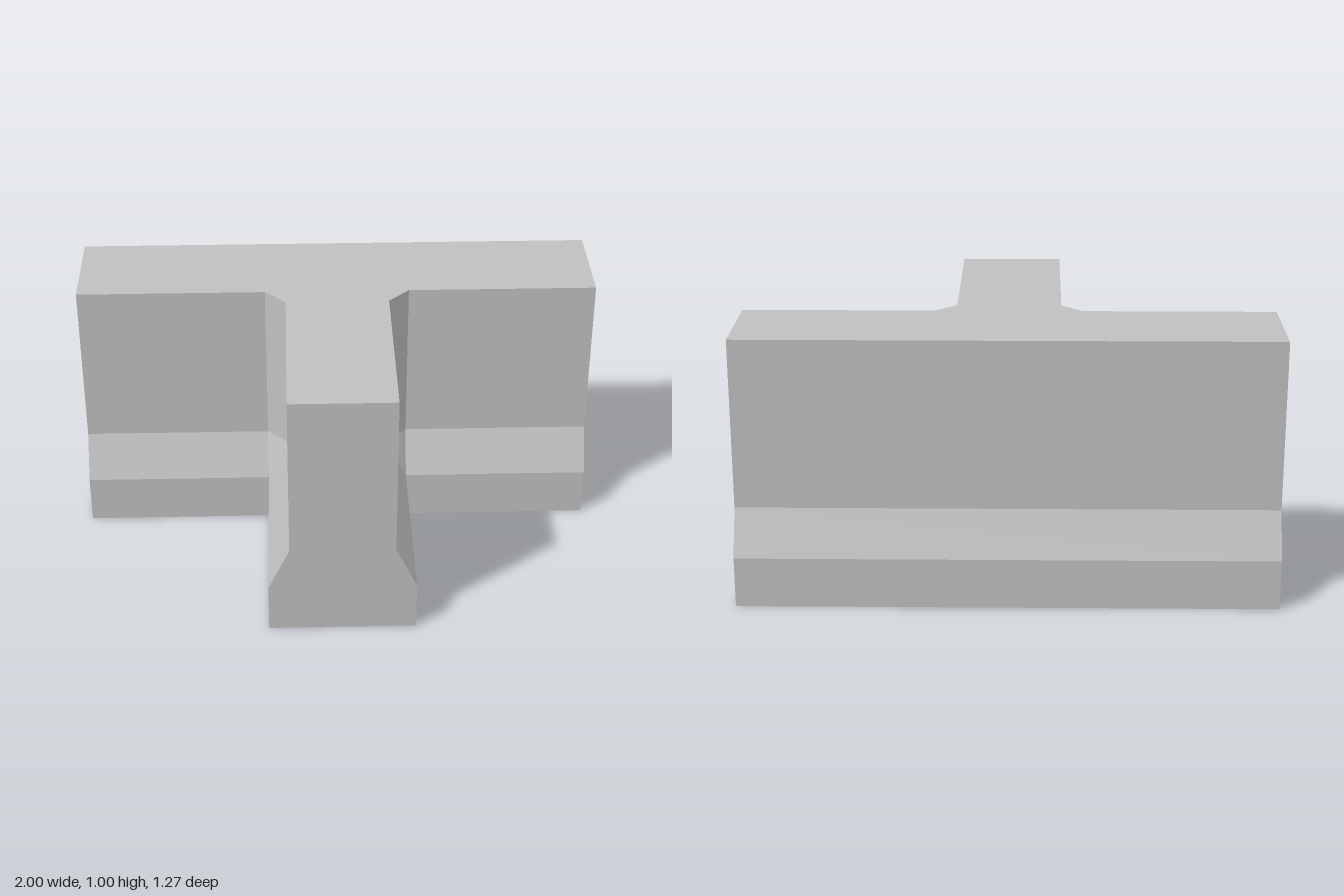
import * as THREE from 'three';

const BACK_FOOT = -0.637, BACK_WALL = -0.56, FRONT_FOOT = -0.085, FRONT_WALL = -0.165;
const STEM_FOOT = 0.277, STEM_WALL = 0.197, STEM_END = 0.637;

// T-shaped outline at height y; the inner corners open into a chamfer on the narrow wall
function section(y, back, front, stem) {
  const half = [[1, back], [1, front], [STEM_FOOT, front], [stem, FRONT_FOOT], [stem, STEM_END]];
  const mirrored = half.map(([x, z]) => [-x, z]).reverse();
  return [...half, ...mirrored].map(([x, z]) => new THREE.Vector3(x, y, z));
}

// Flat horizontal cap over a section, facing up or down
function cap(points, up, out) {
  const ring = points.filter((p, i) => i === 0 || p.distanceTo(points[i - 1]) > 1e-6);
  const flat = ring.map((p) => new THREE.Vector2(p.x, p.z));
  for (const face of THREE.ShapeUtils.triangulateShape(flat, [])) {
    const [a, b, c] = face.map((i) => ring[i]);
    const normalY = b.clone().sub(a).cross(c.clone().sub(a)).y;
    if ((normalY > 0) === up) out.push(a, b, c);
    else out.push(a, c, b);
  }
}

// Closed solid lofted through the sections, with flat faces
function loft(sections) {
  const out = [];
  const add = (a, b, c) => {
    if (new THREE.Triangle(a, b, c).getArea() > 1e-7) out.push(a, b, c);
  };
  for (let s = 0; s < sections.length - 1; s++) {
    const low = sections[s], high = sections[s + 1];
    low.forEach((a, i) => {
      const j = (i + 1) % low.length;
      add(a, high[i], high[j]);
      add(a, high[j], low[j]);
    });
  }
  cap(sections[0], false, out);
  cap(sections[sections.length - 1], true, out);
  const geometry = new THREE.BufferGeometry().setFromPoints(out);
  geometry.computeVertexNormals();
  return geometry;
}

export function createModel() {
  const concrete = new THREE.MeshStandardMaterial({ color: 0xc0c0c0 });
  concrete.name = 'concrete grey';

  // Wide foot, sloping shoulder, then upright wall
  const barrier = new THREE.Mesh(loft([
    section(0, BACK_FOOT, FRONT_FOOT, STEM_FOOT),
    section(0.19, BACK_FOOT, FRONT_FOOT, STEM_FOOT),
    section(0.36, BACK_WALL, FRONT_WALL, STEM_WALL),
    section(1, BACK_WALL, FRONT_WALL, STEM_WALL),
  ]), concrete);
  barrier.name = 'barrierJunction';

  const group = new THREE.Group();
  group.name = 'concreteBarrier';
  group.add(barrier);
  return group;
}
